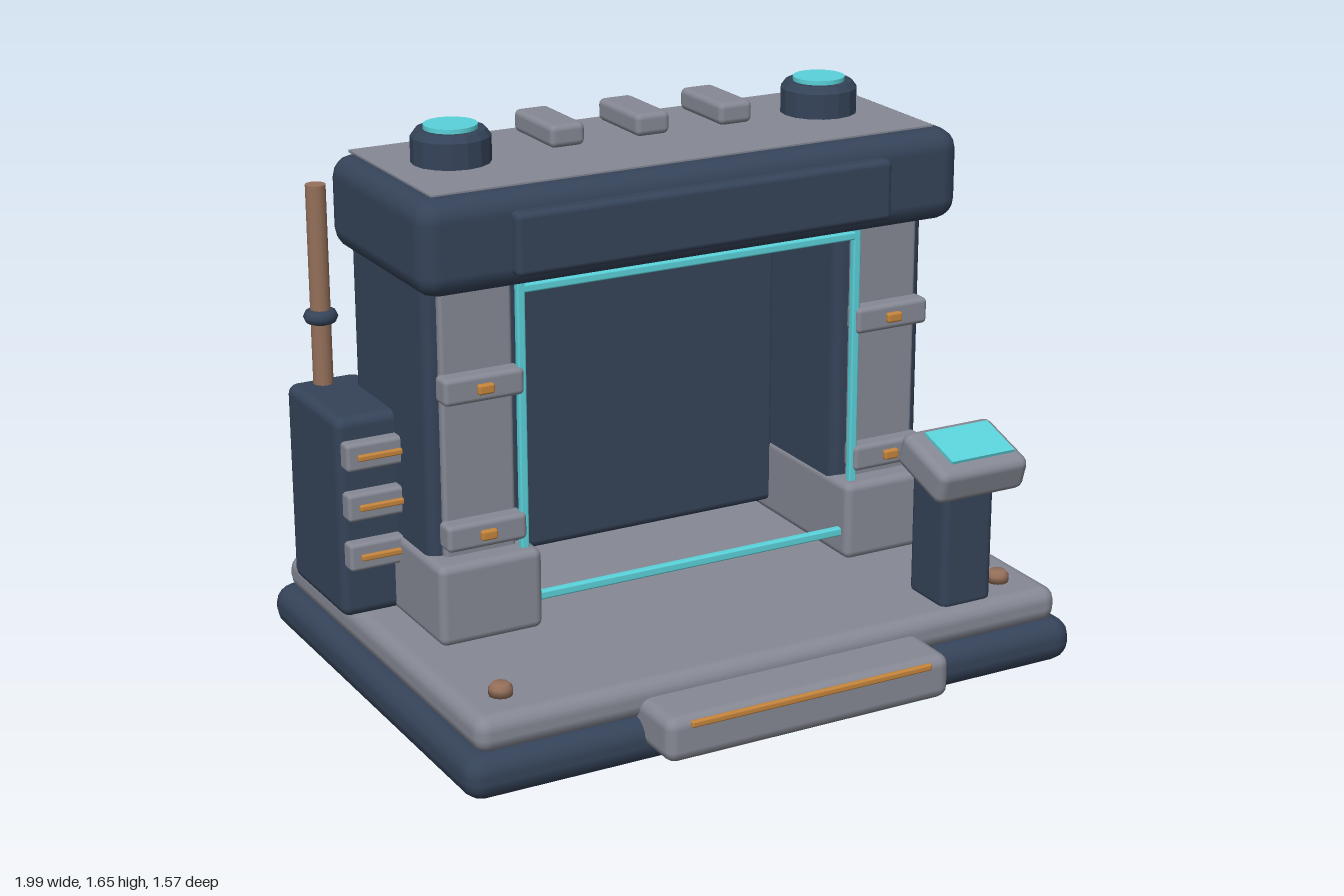
import * as THREE from 'three';
import { RoundedBoxGeometry } from 'three/addons/geometries/RoundedBoxGeometry.js';

function material(name, color) {
  const m = new THREE.MeshStandardMaterial({ color });
  m.name = name;
  return m;
}

export function createModel() {
  const group = new THREE.Group();
  const navy = material('navy metal', 0x354359);
  const grey = material('grey metal', 0x868994);
  const cyan = material('cyan glow', 0x5ad2da);
  const copper = material('copper', 0x95705a);
  const orange = material('orange trim', 0xc5853c);

  function add(name, geometry, mat, x, y, z) {
    const mesh = new THREE.Mesh(geometry, mat);
    mesh.name = name;
    mesh.position.set(x, y, z);
    group.add(mesh);
    return mesh;
  }
  // rounded box given by its extents on each axis
  function block(name, mat, [x0, x1], [y0, y1], [z0, z1], radius = 0.02) {
    const geometry = new RoundedBoxGeometry(x1 - x0, y1 - y0, z1 - z0, 2, radius);
    return add(name, geometry, mat, (x0 + x1) / 2, (y0 + y1) / 2, (z0 + z1) / 2);
  }
  // x extents mirrored for the side s
  const side = (s, a, b) => (s > 0 ? [a, b] : [-b, -a]);

  // stepped base with front step
  block('baseSkirt', navy, [-0.995, 0.995], [0, 0.135], [-0.787, 0.648], 0.06);
  block('basePlatform', grey, [-0.952, 0.952], [0.125, 0.235], [-0.75, 0.615], 0.045);
  block('frontStep', grey, [-0.46, 0.46], [0.055, 0.19], [0.5, 0.78], 0.035);
  block('frontStepTrim', orange, [-0.39, 0.39], [0.158, 0.178], [0.77, 0.787], 0.006);

  // corner bolts
  for (const x of [-0.82, 0.82]) {
    for (const z of [-0.645, 0.482]) {
      const points = [[0, 0], [0.034, 0], [0.034, 0.022], [0.024, 0.034], [0, 0.034]];
      const profile = points.map(([r, y]) => new THREE.Vector2(r, y));
      add('baseBolt', new THREE.LatheGeometry(profile, 12), copper, x, 0.235, z);
    }
  }

  // back panel of the bay
  block('backPanel', navy, [-0.53, 0.53], [0.27, 1.3], [-0.41, -0.33], 0.025);

  // pillars with feet, face plates, clamps, light strips, lamps and pipes
  for (const s of [-1, 1]) {
    block('pillar', navy, side(s, 0.515, 0.82), [0.22, 1.32], [-0.475, 0.037], 0.035);
    block('pillarFoot', grey, side(s, 0.51, 0.832), [0.23, 0.475], [-0.423, 0.13], 0.025);
    block('pillarFace', grey, side(s, 0.56, 0.782), [0.45, 1.29], [0.02, 0.058], 0.012);
    for (const y of [0.545, 0.98]) {
      block('clamp', grey, side(s, 0.548, 0.795), [y - 0.04, y + 0.04], [0.04, 0.11], 0.015);
      block('clampStud', orange, side(s, 0.647, 0.697), [y - 0.015, y + 0.015], [0.1, 0.125], 0.007);
    }
    block('frameSideLight', cyan, side(s, 0.537, 0.562), [0.3, 1.27], [0.074, 0.098], 0.006);

    // roof lamp
    const housing = [[0, 0], [0.115, 0], [0.115, 0.095], [0.1, 0.115], [0, 0.115]];
    const profile = housing.map(([r, y]) => new THREE.Vector2(r, y));
    const lamp = new THREE.LatheGeometry(profile, 16).toNonIndexed();
    lamp.computeVertexNormals();
    add('lampHousing', lamp, navy, s * 0.605, 1.525, -0.225);
    add('lampLens', new THREE.CylinderGeometry(0.078, 0.078, 0.02, 20), cyan, s * 0.605, 1.643, -0.225);

    // rear pipe with rings
    add('pipe', new THREE.CylinderGeometry(0.03, 0.03, 1.105, 14), copper, s * 0.9, 0.893, -0.518);
    for (const y of [0.513, 1.05]) {
      const ring = new THREE.TorusGeometry(0.029, 0.022, 8, 16).rotateX(Math.PI / 2);
      add('pipeRing', ring, navy, s * 0.9, y, -0.518);
    }
  }
  block('frameTopLight', cyan, [-0.562, 0.562], [1.232, 1.257], [0.074, 0.098], 0.006);
  block('frameBottomLight', cyan, [-0.54, 0.54], [0.302, 0.328], [0.074, 0.098], 0.006);

  // header beam with nameplate, roof plate and roof vents
  block('header', navy, [-0.873, 0.873], [1.263, 1.54], [-0.503, 0.157], 0.065);
  block('headerPlate', navy, [-0.605, 0.605], [1.308, 1.49], [0.13, 0.195], 0.018);
  add('roofPlate', new THREE.BoxGeometry(1.62, 0.008, 0.565), grey, 0, 1.541, -0.195);
  for (const x of [-0.275, 0, 0.275]) {
    block('roofVent', grey, [x - 0.055, x + 0.055], [1.56, 1.627], [-0.392, -0.143], 0.018);
  }

  // drawer cabinet beside the right pillar
  block('cabinet', navy, [-0.998, -0.767], [0.235, 0.845], [-0.573, -0.19], 0.03);
  for (const y of [0.434, 0.586, 0.738]) {
    block('drawer', grey, [-0.985, -0.78], [y - 0.042, y + 0.042], [-0.21, -0.15], 0.012);
    block('drawerHandle', orange, [-0.953, -0.812], [y - 0.009, y + 0.009], [-0.16, -0.138], 0.005);
  }

  // control console with a tilted head
  block('consolePost', navy, [0.561, 0.735], [0.22, 0.637], [0.393, 0.577], 0.025);
  const head = add('consoleHead', new RoundedBoxGeometry(0.305, 0.11, 0.235, 2, 0.028), grey, 0.648, 0.664, 0.53);
  head.rotation.x = 0.3;
  const screen = add('consoleScreen', new THREE.BoxGeometry(0.215, 0.009, 0.15), cyan, 0.648, 0.731, 0.562);
  screen.rotation.x = 0.3;

  return group;
}
